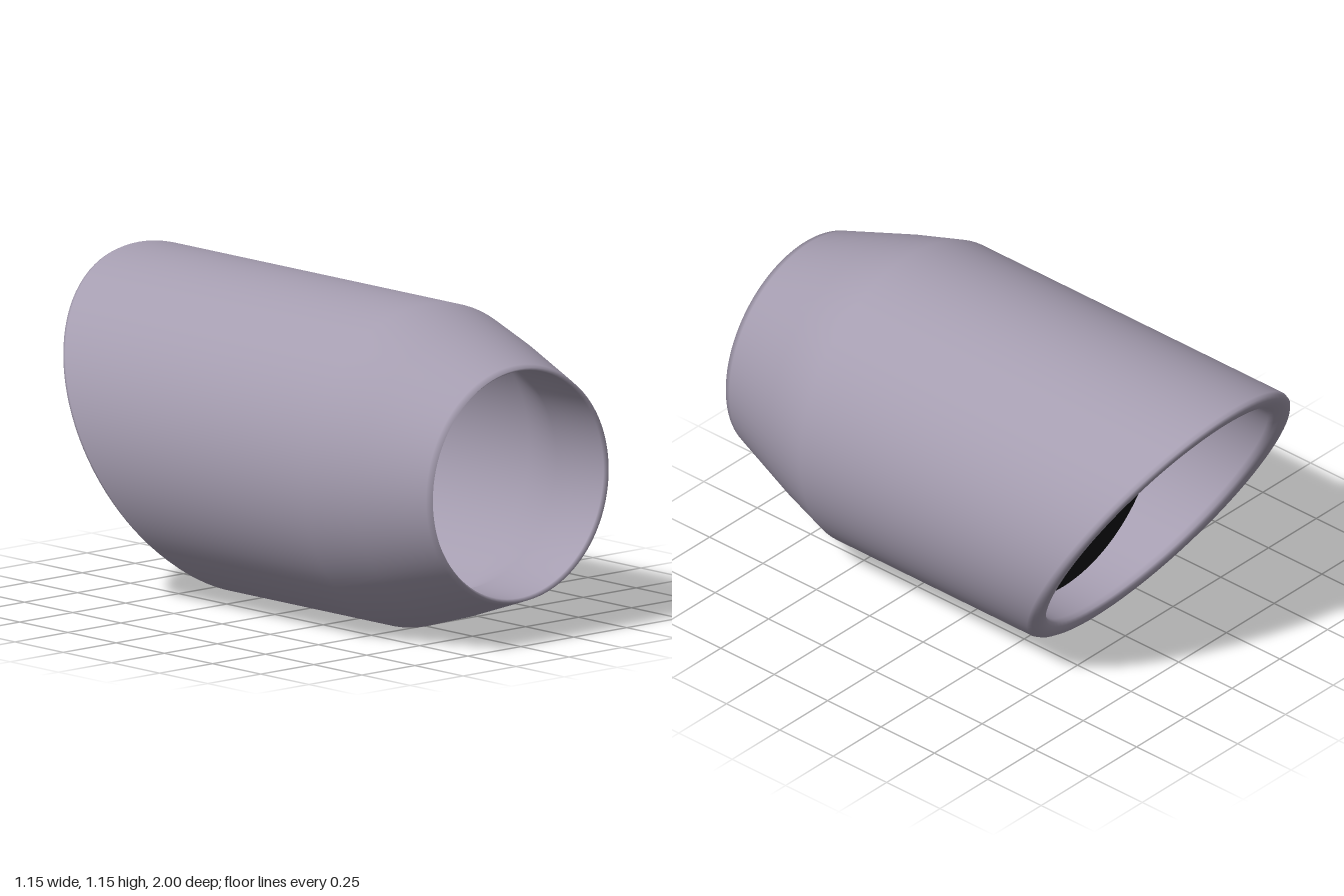
import * as THREE from 'three';
import { mergeVertices } from 'three/addons/utils/BufferGeometryUtils.js';

const R = 0.574;        // outer radius, also the height of the axis
const BORE = 0.495;     // radius of the inner cavity
const CUT = -0.68;      // where the slanted cut crosses the axis
const SLOPE = -0.577;   // slant of the cut, 30 degrees

// Closed wall section [radius, z]: outside from back to front, then inside again
const section = [
  [0.535, CUT], [0.555, CUT], [0.568, CUT + 0.012], [R, CUT + 0.03],
  [R, 0.51], [0.515, 0.71], [0.424, 0.975], [0.415, 1],
  [0.404, 0.985], [0.404, 0.74], [BORE, 0.5],
  [BORE, CUT + 0.04], [0.502, CUT + 0.018], [0.515, CUT + 0.005], [0.535, CUT],
];

function tubeGeometry() {
  let geo = new THREE.LatheGeometry(section.map(([r, z]) => new THREE.Vector2(r, z)), 96);
  geo.rotateX(Math.PI / 2);
  // Shear the back rim into the slanted cut
  const p = geo.attributes.position;
  for (let i = 0; i < p.count; i++) {
    if (p.getZ(i) < -0.3) p.setZ(i, p.getZ(i) + SLOPE * p.getY(i));
  }
  // Weld the seams so the shading runs smoothly round the wall
  geo.deleteAttribute('uv');
  geo.deleteAttribute('normal');
  geo = mergeVertices(geo, 1e-5);
  geo.computeVertexNormals();
  return geo;
}

export function createModel() {
  const group = new THREE.Group();
  group.name = 'slantCutPipeTip';

  const tube = new THREE.Mesh(tubeGeometry(), new THREE.MeshStandardMaterial({ color: 0xa59db0 }));
  tube.name = 'tube';

  // Dark disc closing the bore
  const baffle = new THREE.Mesh(
    new THREE.CircleGeometry(BORE, 96),
    new THREE.MeshStandardMaterial({ color: 0x101213, side: THREE.DoubleSide }),
  );
  baffle.name = 'innerDisc';
  baffle.position.z = -0.21;

  group.add(tube, baffle);
  group.children.forEach((m) => { m.position.y = R; });
  return group;
}
